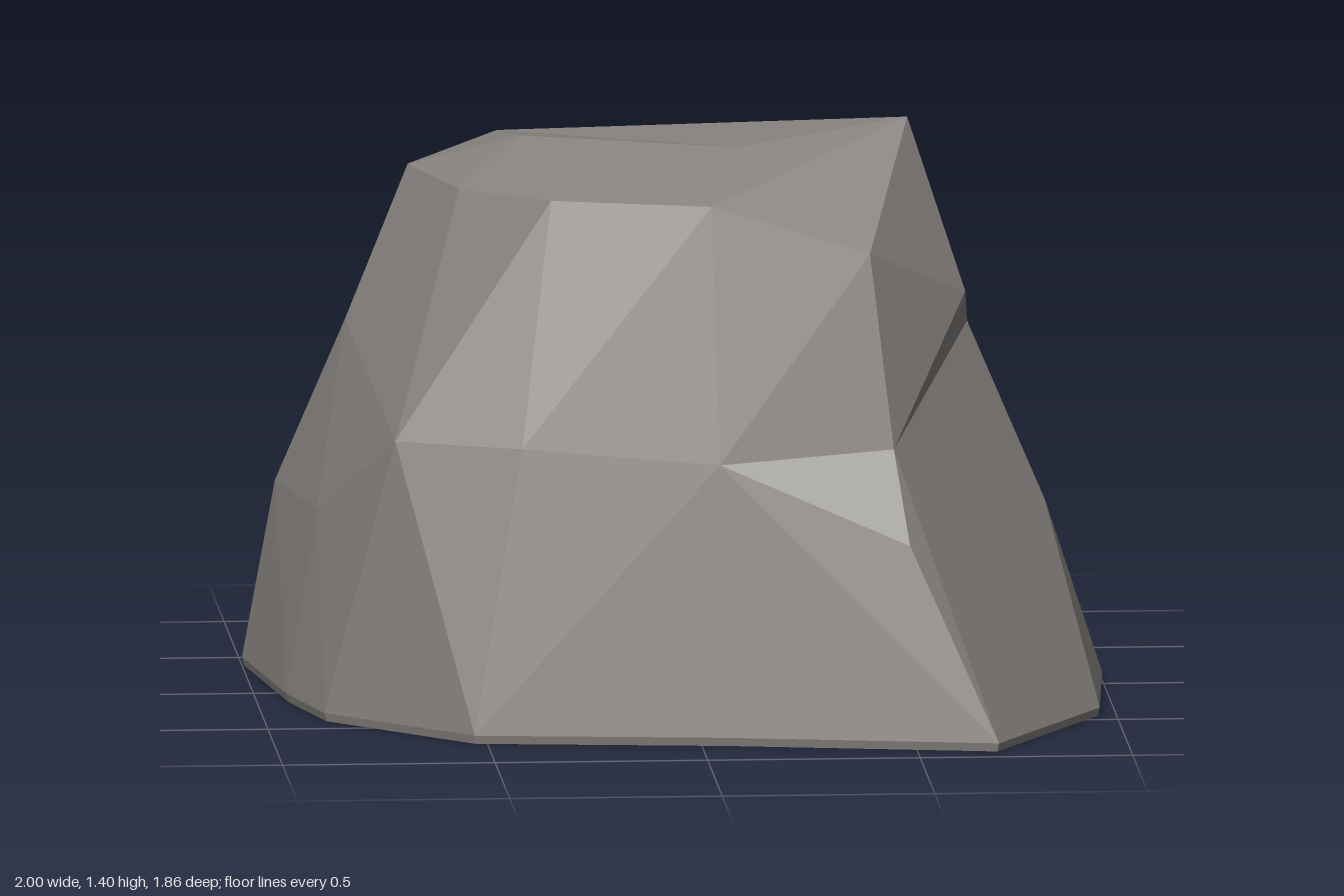
import * as THREE from 'three';

export function createModel() {
  const group = new THREE.Group();
  group.name = 'boulder';
  const v = (x, y, z) => new THREE.Vector3(x, y, z);

  // Corners shared by several columns
  const peak = v(0.52, 1.4, 0.26);
  const crownFront = v(0.12, 1.34, 0.31);
  const crownLeft = v(-0.38, 1.34, 0.11);
  const crownBack = v(-0.41, 1.29, -0.26);
  const crownSide = v(0.19, 1.2, -0.29);
  const notch = v(0.46, 0.68, 0.68);
  const frontCorner = v(-0.7, 0.68, 0.49);
  const frontShoulder = v(-0.53, 1.23, 0.2);
  const sideLedge = v(-0.78, 0.88, -0.06);

  // Columns around the rock: foot x, foot z, then four corners going up
  const columns = [];
  const column = (x, z, ...up) =>
    columns.push([v(x * 0.995, 0, z * 0.995), v(x, 0.02, z), ...up]);
  column(-0.28, -0.93, v(-0.28, 0.46, -0.65), v(-0.3, 0.88, -0.57), crownBack, crownBack);
  column(0.31, -0.72, v(0.1, 0.46, -0.64), v(0.03, 1.01, -0.54), crownSide, crownSide);
  column(0.58, -0.4, v(0.53, 0.46, -0.36), v(0.47, 0.9, -0.31), crownSide, crownSide);
  column(1.0, -0.05, v(0.85, 0.47, 0.17), v(0.67, 0.89, 0.13), v(0.55, 1.2, 0.01), peak);
  column(0.96, 0.45, notch, notch, v(0.65, 1.0, 0.36), peak);
  column(0.69, 0.93, v(0.49, 0.47, 0.8), notch, v(0.41, 1.13, 0.59), peak);
  column(0.06, 0.81, v(0.05, 0.65, 0.7), v(0.05, 0.65, 0.7), v(0.04, 1.24, 0.55), crownFront);
  column(-0.53, 0.74, v(-0.41, 0.68, 0.62), v(-0.41, 0.68, 0.62), v(-0.33, 1.24, 0.44), crownLeft);
  column(-0.86, 0.4, frontCorner, frontCorner, frontShoulder, crownLeft);
  column(-0.93, 0.13, v(-0.86, 0.46, 0.13), sideLedge, frontShoulder, crownLeft);
  column(-1.0, -0.39, v(-0.93, 0.46, -0.28), sideLedge, v(-0.63, 1.24, -0.1), crownLeft);
  column(-0.82, -0.64, v(-0.78, 0.46, -0.6), v(-0.7, 0.88, -0.51), crownBack, crownBack);

  const positions = [];
  const cross = (a, b, c) => b.clone().sub(a).cross(c.clone().sub(a));
  const triangle = (a, b, c) => {
    if (cross(a, b, c).length() < 1e-6) return;
    for (const p of [a, b, c]) positions.push(p.x, p.y, p.z);
  };
  // Split each quad along the diagonal that bulges outward
  const quad = (a, b, c, d) => {
    if (cross(a, b, c).dot(d.clone().sub(a)) > 0) {
      triangle(a, b, d);
      triangle(b, c, d);
    } else {
      triangle(a, b, c);
      triangle(a, c, d);
    }
  };

  // Sides
  const n = columns.length;
  for (let i = 0; i < n; i++) {
    const right = columns[i], left = columns[(i + 1) % n];
    for (let k = 0; k < 5; k++) quad(left[k], right[k], right[k + 1], left[k + 1]);
  }
  // Crown
  triangle(crownBack, peak, crownSide);
  triangle(crownBack, crownFront, peak);
  triangle(crownBack, crownLeft, crownFront);
  // Underside, fanned from the inward foot
  for (let i = 3; i < n + 1; i++) {
    triangle(columns[2][0], columns[i % n][0], columns[(i + 1) % n][0]);
  }

  const geometry = new THREE.BufferGeometry();
  geometry.setAttribute('position', new THREE.Float32BufferAttribute(positions, 3));
  geometry.computeVertexNormals();
  const material = new THREE.MeshStandardMaterial({ color: 0x85817d, flatShading: true });
  const rock = new THREE.Mesh(geometry, material);
  rock.name = 'rock';
  group.add(rock);
  return group;
}
